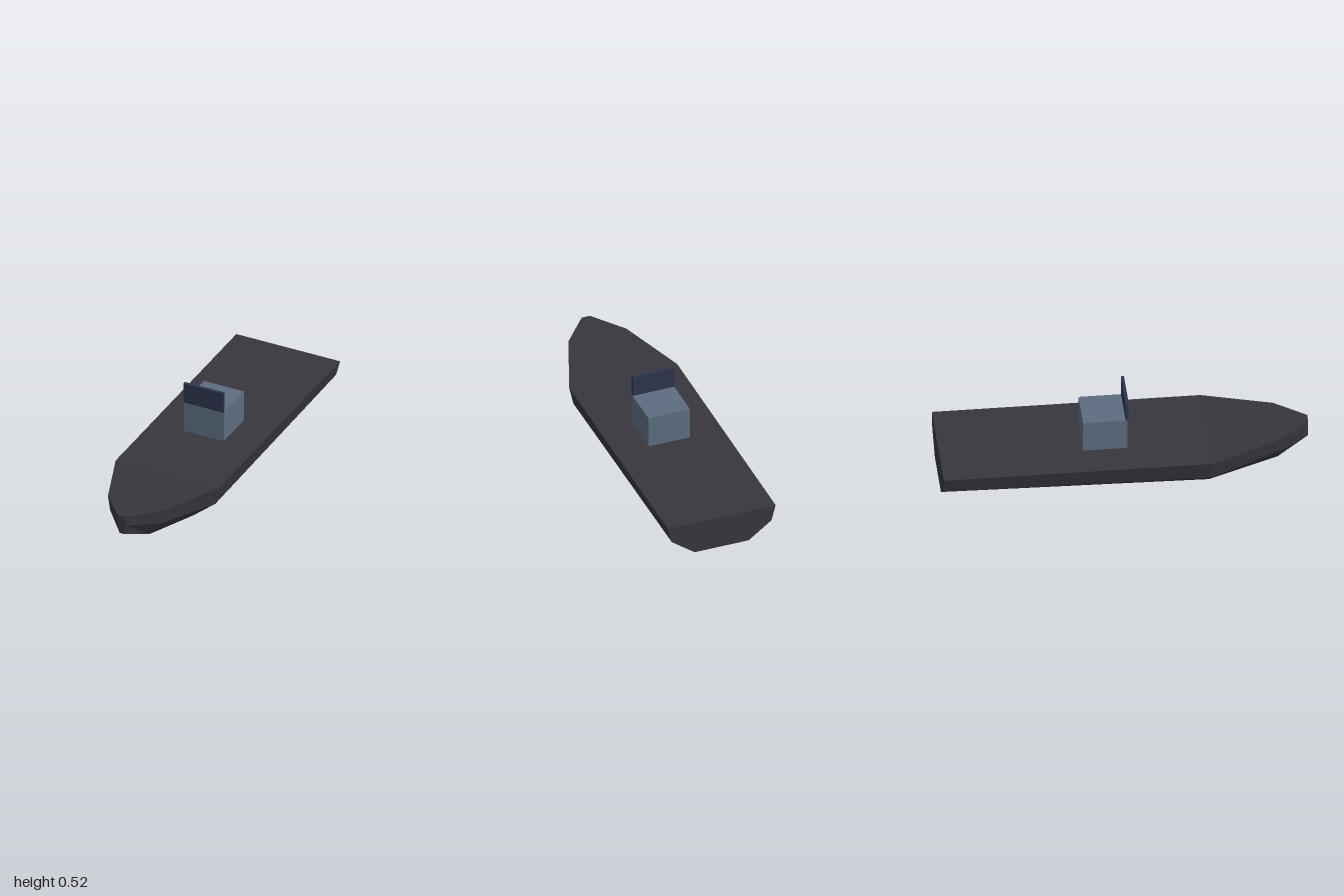
import * as THREE from 'three';

// Hull stations from stern to bow: z, then [x, y] of keel edge, chine and deck edge
const STATIONS = [
  [-1.0, [0.156, 0.027], [0.288, 0.125], [0.312, 0.217]],
  [0.45, [0.156, 0.0], [0.288, 0.109], [0.312, 0.217]],
  [0.83, [0.086, 0.073], [0.155, 0.157], [0.168, 0.242]],
  [1.0, [0.012, 0.145], [0.022, 0.2], [0.024, 0.254]],
];

// Loft the mirrored stations into a closed, faceted hull
function hullGeometry() {
  const rings = STATIONS.map(([z, ...half]) => [
    ...half.map(([x, y]) => [x, y, z]),
    ...[...half].reverse().map(([x, y]) => [-x, y, z]),
  ]);
  const pos = [];
  const tri = (a, b, c) => pos.push(...a, ...b, ...c);
  const n = rings[0].length;
  for (let i = 0; i < rings.length - 1; i++) {
    const back = rings[i], front = rings[i + 1];
    for (let j = 0; j < n; j++) {
      const k = (j + 1) % n;
      tri(back[j], back[k], front[k]);
      tri(back[j], front[k], front[j]);
    }
  }
  // Transom and bow caps
  const stern = rings[0], bow = rings[rings.length - 1];
  for (let j = 1; j < n - 1; j++) {
    tri(stern[0], stern[j + 1], stern[j]);
    tri(bow[0], bow[j], bow[j + 1]);
  }
  const geo = new THREE.BufferGeometry();
  geo.setAttribute('position', new THREE.Float32BufferAttribute(pos, 3));
  geo.computeVertexNormals();
  return geo;
}

function material(name, color) {
  const m = new THREE.MeshStandardMaterial({ color, flatShading: true });
  m.name = name;
  return m;
}

export function createModel() {
  const model = new THREE.Group();
  model.name = 'boat';

  const add = (name, geo, mat, x = 0, y = 0, z = 0) => {
    const mesh = new THREE.Mesh(geo, mat);
    mesh.name = name;
    mesh.position.set(x, y, z);
    model.add(mesh);
  };

  add('hull', hullGeometry(), material('charcoal', 0x38363d));

  // Console standing on the deck, with the windshield on its front edge
  add('console', new THREE.BoxGeometry(0.24, 0.19, 0.24), material('slate blue', 0x5c6d80), 0, 0.305, -0.107);
  add('windshield', new THREE.BoxGeometry(0.24, 0.12, 0.016), material('dark navy', 0x2d354c), 0, 0.46, 0.011);

  return model;
}
